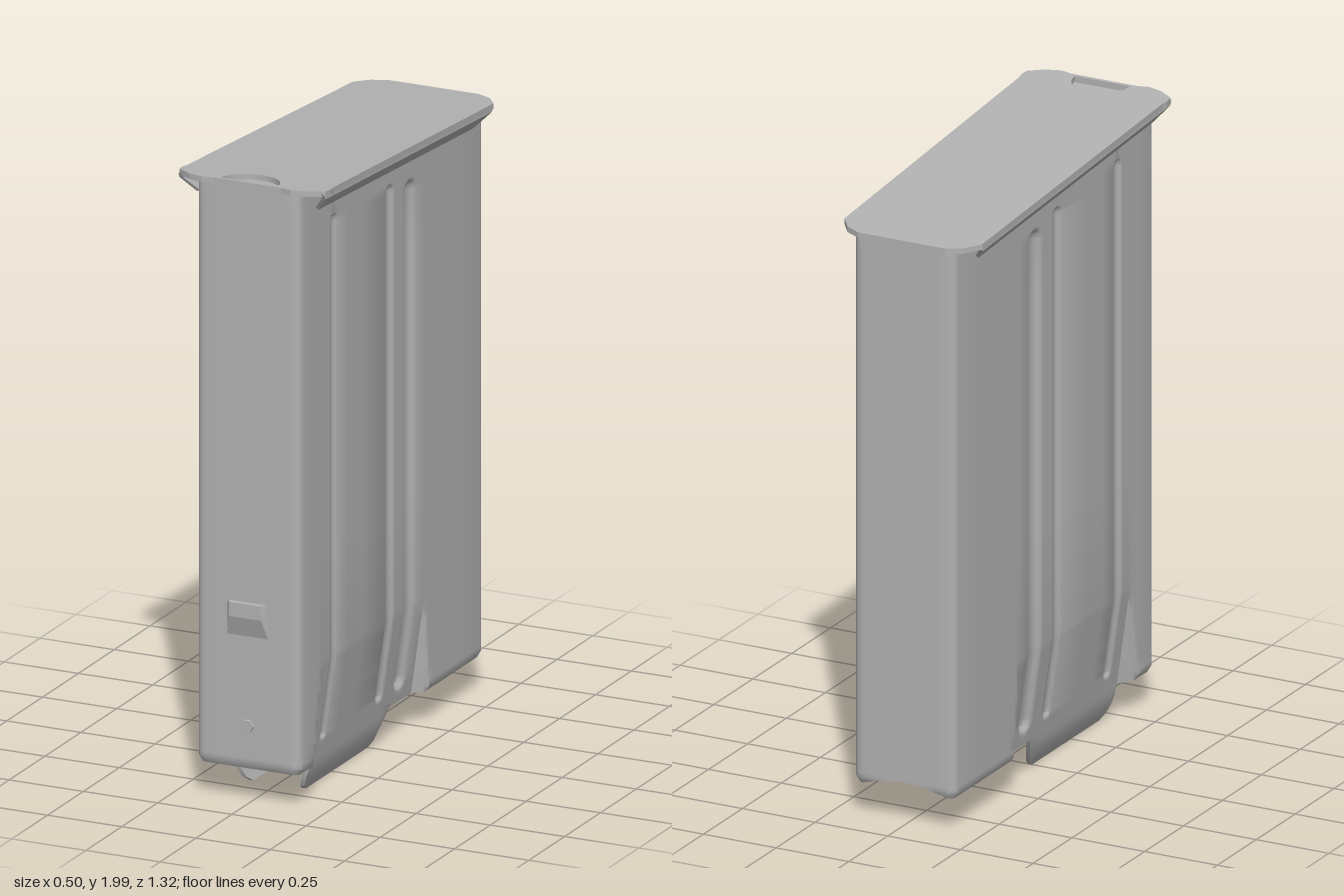
import * as THREE from 'three';
import { toCreasedNormals } from 'three/addons/utils/BufferGeometryUtils.js';
import { ConvexGeometry } from 'three/addons/geometries/ConvexGeometry.js';

const { clamp, smoothstep, lerp } = THREE.MathUtils;
const steel = new THREE.MeshStandardMaterial({ color: 0xb2b2b2 });
steel.name = 'steel grey';

const HALF = 0.175, FRONT = 0.64, BACK = -0.648, R = 0.03, WALL = 0.014;
const RIM = 0.12, INSET_TOP = 0.44;
const coverTop = (z) => 1.955 + 0.069 * z; // sloping cover plane

// pressed grooves: centre z, half width, lower and upper y, depth
const grooves = [
  [0.4, 0.026, 0.16, 1.855, 0.01],
  [0.012, 0.028, 0.16, 1.83, 0.011],
  [-0.13, 0.044, 0.155, 1.805, 0.018],
];
// lower edge of the feed lips: z, y
const lipEdge = [[0.478, 0.12], [0.474, 0.06], [0.46, 0.028], [0.43, 0.01], [0, 0.01], [-0.025, 0.025], [-0.08, 0.12]];

function lipBottom(z) {
  for (let i = 1; i < lipEdge.length; i++) {
    const [z0, y0] = lipEdge[i - 1], [z1, y1] = lipEdge[i];
    if (z <= z0 && z >= z1) return lerp(y0, y1, (z0 - z) / (z0 - z1));
  }
  return RIM;
}

function grooveDepth(y, z) {
  let depth = 0;
  for (const [zc, w, y0, y1, d] of grooves) {
    const dist = Math.hypot(z - zc, y - clamp(y, y0 + w, y1 - w));
    depth = Math.max(depth, d * smoothstep(w - dist, 0, w * 0.6));
  }
  return depth;
}

// tapered side panel that runs down into the lips
function panelInset(y, z) {
  const t = clamp((INSET_TOP - y) / (INSET_TOP - RIM), 0, 1);
  if (t === 0) return 0;
  const front = clamp((0.48 + 0.06 * t - z) / (0.06 * t), 0, 1);
  const back = clamp((z + 0.23 + 0.035 * t) / (0.035 * t), 0, 1);
  const curl = Math.pow(clamp((RIM - y) / RIM, 0, 1), 1.6);
  return (0.045 * t + 0.04 * curl) * Math.min(front, back);
}

// half outline of the tube, from middle of back round to middle of front
function tubeOutline() {
  const half = [];
  const flat = [0, 0.04, 0.08, 0.115];
  flat.forEach((x) => half.push({ x, z: BACK, nx: 0, nz: -1 }));
  const corner = (cz, a0) => {
    for (let i = 0; i <= 4; i++) {
      const a = a0 + (i / 4) * Math.PI / 2, nx = Math.cos(a), nz = Math.sin(a);
      half.push({ x: HALF - R + R * nx, z: cz + R * nz, nx, nz });
    }
  };
  corner(BACK + R, -Math.PI / 2);
  const zs = [-0.45, -0.3, -0.265, -0.255, -0.245, -0.23, 0.2, 0.3, 0.48, 0.495, 0.51, 0.525, 0.54];
  for (const [zc, w] of grooves) for (const k of [-1, -0.8, -0.6, -0.4, 0, 0.4, 0.6, 0.8, 1]) zs.push(zc + k * w);
  lipEdge.forEach(([z]) => zs.push(z));
  [...new Set(zs)].sort((a, b) => a - b).forEach((z) => half.push({ x: HALF, z, nx: 1, nz: 0, side: true }));
  corner(FRONT - R, 0);
  flat.slice().reverse().forEach((x) => half.push({ x, z: FRONT, nx: 0, nz: 1 }));
  const mirrored = half.slice(1, -1).reverse().map((p) => ({ ...p, x: -p.x, nx: -p.nx }));
  return [...half, ...mirrored];
}

function tubeGeometry() {
  const ring = tubeOutline();
  const ys = [RIM, 0.14, 0.2, 0.24, 0.28, 0.32, 0.36, 0.4, 0.42, 0.44, 0.8, 1.2, 1.6, 2];
  for (const [, w, y0, y1] of grooves) for (const k of [0, 0.2, 0.4, 0.65, 1]) ys.push(y0 + k * w, y1 - k * w);
  const rows = [...new Set(ys)].sort((a, b) => a - b);
  const LIP = 5, count = rows.length + LIP;

  const point = (j, i, thick) => {
    const p = ring[j % ring.length];
    let y;
    if (i < LIP) y = p.side ? lerp(lipBottom(p.z), RIM, i / LIP) : RIM;
    else y = Math.min(rows[i - LIP], coverTop(p.z) - 0.012);
    // shallow arch along the lower edge of the back wall
    if (p.nz === -1) y = Math.max(y, RIM + 0.03 * (1 - (p.x / 0.145) ** 2));
    const inset = p.side ? panelInset(y, p.z) : 0;
    const hem = inset > 0 ? 0 : 0.012 * clamp((0.14 - y) / 0.02, 0, 1);
    const off = thick + hem + inset + (p.side ? grooveDepth(y, p.z) : 0);
    return [p.x - p.nx * off, y, p.z - p.nz * off];
  };

  const pos = [];
  const quad = (a, b, c, d) => pos.push(...a, ...b, ...c, ...a, ...c, ...d);
  for (let j = 0; j < ring.length; j++) {
    for (let i = 0; i < count - 1; i++) {
      const corners = (t) => [point(j, i, t), point(j, i + 1, t), point(j + 1, i + 1, t), point(j + 1, i, t)];
      const outer = corners(0);
      if (outer[0][1] === outer[1][1] && outer[2][1] === outer[3][1]) continue;
      quad(...outer);
      quad(...corners(WALL).reverse());
    }
    // rim joining the outer and inner walls
    quad(point(j, 0, 0), point(j + 1, 0, 0), point(j + 1, 0, WALL), point(j, 0, WALL));
  }
  const g = new THREE.BufferGeometry();
  g.setAttribute('position', new THREE.Float32BufferAttribute(pos, 3));
  return toCreasedNormals(g, 0.6);
}

// flat plate from a plan shape (shape y = -z), laid on the sloping cover plane
function slopedPlate(shape, thickness, drop) {
  const g = new THREE.ExtrudeGeometry(shape, { depth: thickness, bevelEnabled: false, curveSegments: 16 });
  g.rotateX(-Math.PI / 2);
  const p = g.attributes.position;
  for (let i = 0; i < p.count; i++) p.setY(i, p.getY(i) + coverTop(p.getZ(i)) - thickness - drop);
  g.computeVertexNormals();
  return g;
}

// curled rail under one long edge of the cover
function railGeometry(s) {
  // distance in from the edge, drop, amount the ends are cut back
  const profile = [[0.012, 0.006, 0], [0.001, 0.012, 0], [0, 0.026, 0.2], [0.042, 0.074, 1], [0.05, 0.068, 1], [0.014, 0.027, 0.2]];
  const at = (k, end) => {
    const [inn, drop, cut] = profile[k % profile.length];
    const z = end ? 0.615 - 0.045 * cut : -0.59 + 0.06 * cut;
    return [s * (0.2405 + 0.0095 * z - inn), coverTop(z) - drop, z];
  };
  const pos = [];
  const tri = (a, b, c) => (s > 0 ? pos.push(...a, ...b, ...c) : pos.push(...a, ...c, ...b));
  const n = profile.length;
  for (let k = 0; k < n; k++) {
    tri(at(k, 0), at(k, 1), at(k + 1, 1));
    tri(at(k, 0), at(k + 1, 1), at(k + 1, 0));
  }
  // end caps, stitched between the outer and inner runs
  for (const [a, b, c, d] of [[0, 1, 2, 5], [2, 3, 4, 5]]) {
    for (const [u, v, w] of [[a, b, c], [a, c, d]]) {
      tri(at(u, 1), at(w, 1), at(v, 1));
      tri(at(u, 0), at(v, 0), at(w, 0));
    }
  }
  const g = new THREE.BufferGeometry();
  g.setAttribute('position', new THREE.Float32BufferAttribute(pos, 3));
  return toCreasedNormals(g, 0.6);
}

export function createModel() {
  const model = new THREE.Group();
  model.name = 'boxMagazine';
  const add = (name, geometry, parent = model) => {
    const mesh = new THREE.Mesh(geometry, steel);
    mesh.name = name;
    parent.add(mesh);
    return mesh;
  };

  // hollow tube with grooves, tapered panels and feed lips
  const tube = add('tubeBody', tubeGeometry());
  tube.material = steel.clone();
  tube.material.side = THREE.DoubleSide;

  // cover plate with a thumb recess
  const cover = new THREE.Group();
  cover.name = 'cover';
  model.add(cover);
  const edge = [[0.15, -0.66], [0.2, -0.635], [0.237, -0.585], [0.246, 0.56], [0.25, 0.575], [0.247, 0.605], [0.2, 0.636], [0.15, 0.65], [0.115, 0.641]];
  const outline = [...edge, ...edge.slice().reverse().map(([x, z]) => [-x, z])];
  const plate = new THREE.Shape(outline.map(([x, z]) => new THREE.Vector2(x, -z)));
  const halfDisc = () => {
    const pts = [];
    for (let i = 0; i <= 16; i++) {
      const a = (i / 16) * Math.PI;
      pts.push(new THREE.Vector2(0.095 * Math.cos(a), -0.63 + 0.092 * Math.sin(a)));
    }
    return pts;
  };
  plate.holes.push(new THREE.Path(halfDisc()));
  add('coverPlate', slopedPlate(plate, 0.018, 0), cover);
  add('recessFloor', slopedPlate(new THREE.Shape(halfDisc()), 0.008, 0.018), cover);
  add('leftRail', railGeometry(1), cover);
  add('rightRail', railGeometry(-1), cover);

  // wedge-shaped catch on the front wall
  const catchPoints = [];
  for (const s of [-1, 1]) {
    for (const [x, y, z] of [[0.07, 0.655, 0.636], [0.07, 0.54, 0.638], [0.052, 0.655, 0.66], [0.055, 0.61, 0.66]]) {
      catchPoints.push(new THREE.Vector3(s * x, y, z));
    }
  }
  add('catch', new ConvexGeometry(catchPoints));

  // small six-sided stud below the catch
  const stud = new THREE.CylinderGeometry(0.02, 0.024, 0.008, 6).toNonIndexed();
  stud.computeVertexNormals();
  stud.rotateX(Math.PI / 2).rotateZ(Math.PI / 6);
  add('stud', stud).position.set(0, 0.26, 0.64);

  return model;
}
